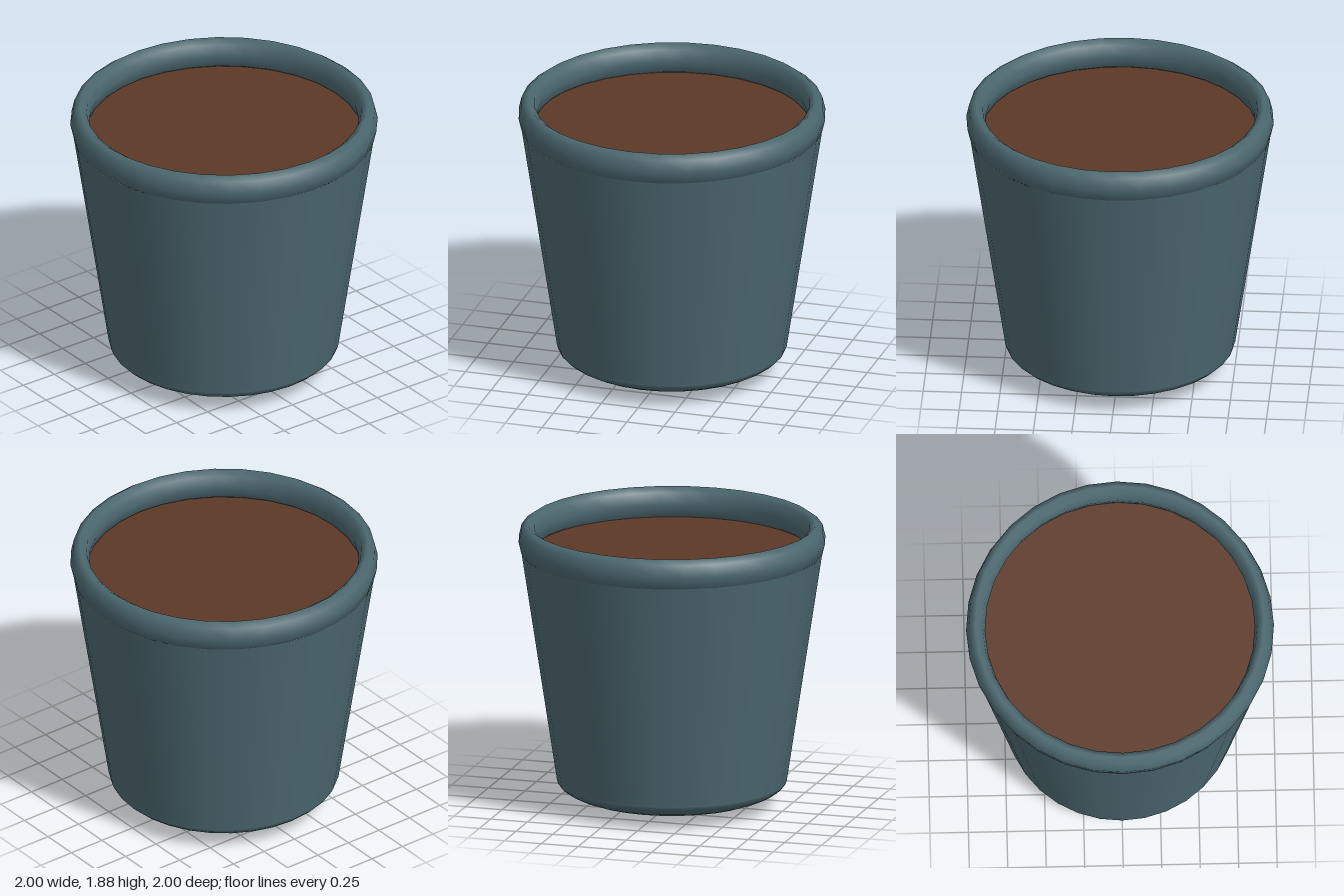
import * as THREE from 'three';

const SEGMENTS = 32;

export function createModel() {
  const glaze = new THREE.MeshStandardMaterial({ color: 0x4c6870 });
  glaze.name = 'slate glaze';
  const earth = new THREE.MeshStandardMaterial({ color: 0x5c3827 });
  earth.name = 'brown earth';

  const group = new THREE.Group();
  group.name = 'flowerPot';
  const add = (name, geometry, material, y = 0) => {
    const mesh = new THREE.Mesh(geometry, material);
    mesh.name = name;
    mesh.position.y = y;
    group.add(mesh);
    return mesh;
  };

  // Tapered wall, tucked under the rim at the top
  const bottomY = 0.17, topY = 1.69;
  add('wall', new THREE.CylinderGeometry(0.98, 0.75, topY - bottomY, SEGMENTS, 1, true),
    glaze, (topY + bottomY) / 2);

  // Shallow domed underside: lower half of a flattened sphere
  const base = add('base', new THREE.SphereGeometry(0.75, SEGMENTS, 10, 0, Math.PI * 2, Math.PI / 2, Math.PI / 2),
    glaze, bottomY);
  base.scale.y = bottomY / 0.75;

  // Rim: an upright oval swept around the pot, starting at its hidden lowest point
  const oval = [];
  const sides = 8;
  for (let i = 0; i <= sides; i++) {
    const a = -Math.PI / 2 + (i / sides) * Math.PI * 2;
    oval.push(new THREE.Vector2(0.938 + 0.062 * Math.cos(a), 0.11 * Math.sin(a)));
  }
  add('rim', new THREE.LatheGeometry(oval, SEGMENTS), glaze, 1.77);

  // Soil surface, with its edge sunk into the rim
  const disc = new THREE.CircleGeometry(0.92, SEGMENTS);
  disc.rotateX(-Math.PI / 2);
  add('soil', disc, earth, 1.68);

  return group;
}
